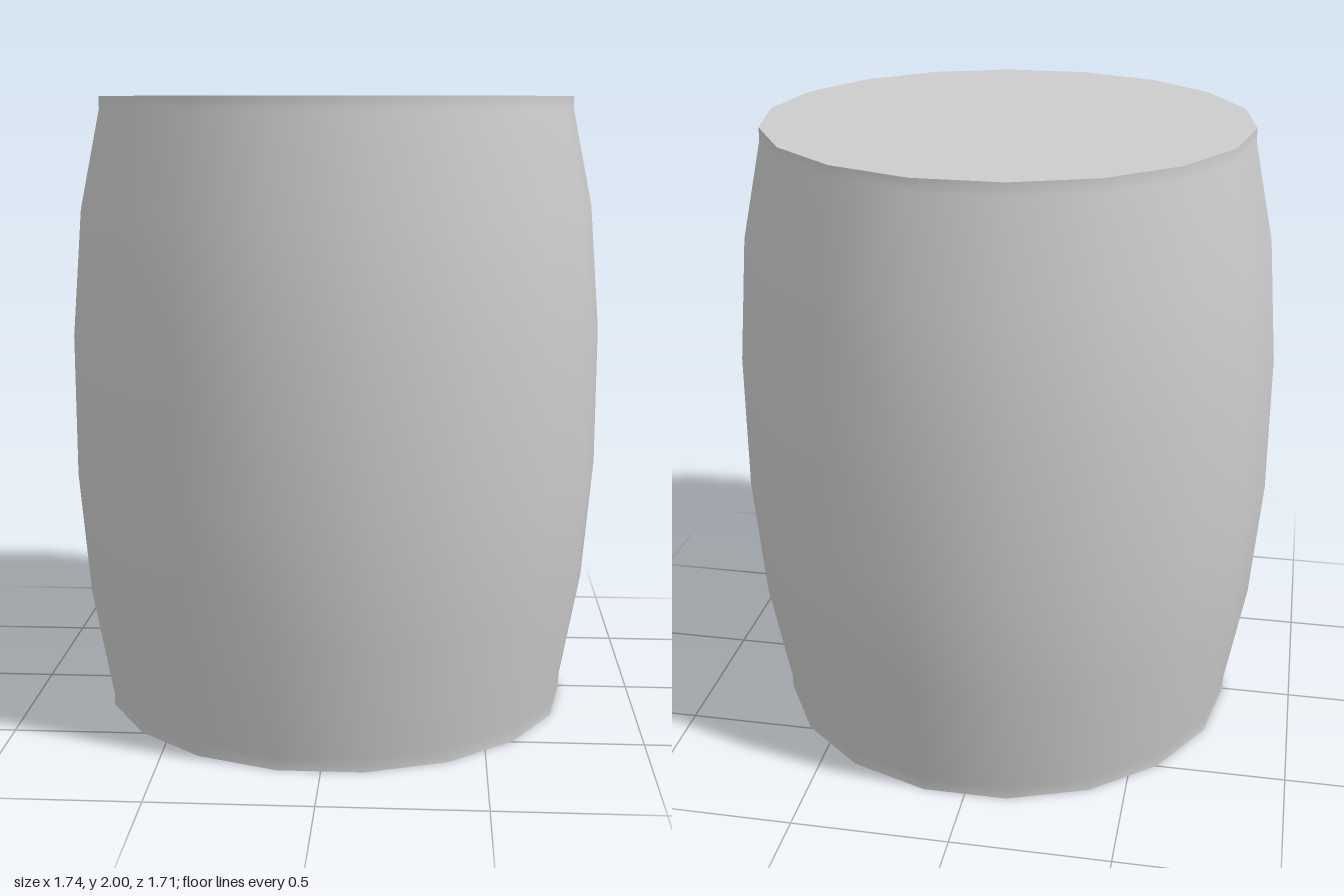
import * as THREE from 'three';

const SIDES = 18;
// Barrel outline from bottom to top: radius, height
const PROFILE = [
  [0.77, 0], [0.77, 0.04], [0.835, 0.4], [0.868, 0.8],
  [0.868, 1.25], [0.835, 1.65], [0.77, 1.96], [0.77, 2],
];

export function createModel() {
  const group = new THREE.Group();
  group.name = 'barrel';
  const material = new THREE.MeshStandardMaterial({ color: 0xcccccc });

  // Bulging wall, smooth around, with a vertex ridge on the x axis
  const points = PROFILE.map(([r, y]) => new THREE.Vector2(r, y));
  const wall = new THREE.Mesh(new THREE.LatheGeometry(points, SIDES, Math.PI / 2), material);
  wall.name = 'wall';
  group.add(wall);

  // Flat ends, flush with the rims
  for (const [name, y, tilt] of [['lid', 2, -Math.PI / 2], ['base', 0, Math.PI / 2]]) {
    const end = new THREE.Mesh(new THREE.CircleGeometry(0.77, SIDES), material);
    end.name = name;
    end.position.y = y;
    end.rotation.x = tilt;
    group.add(end);
  }
  return group;
}
